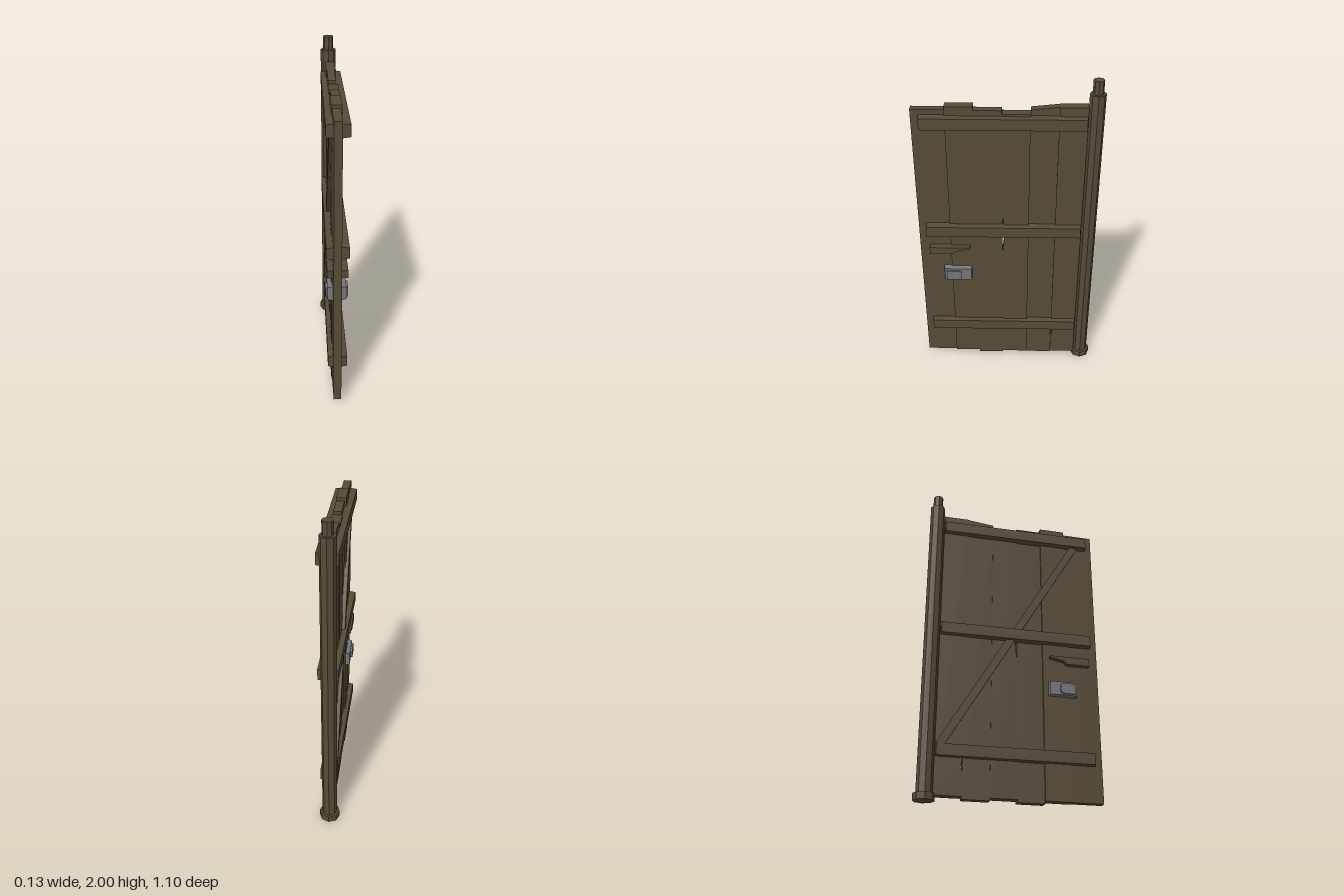
import * as THREE from 'three';

const wood = new THREE.MeshStandardMaterial({ color: 0x564b38 });
wood.name = 'weathered wood';
const metal = new THREE.MeshStandardMaterial({ color: 0x77777a });
metal.name = 'dull iron';

function add(group, name, geometry, material) {
  const geo = geometry.index ? geometry.toNonIndexed() : geometry;
  geo.computeVertexNormals(); // crisp facets
  const mesh = new THREE.Mesh(geo, material);
  mesh.name = name;
  group.add(mesh);
  return mesh;
}

// Board with an outline given as [z, y] points, filling x0..x1
function board(points, x0, x1) {
  const shape = new THREE.Shape(points.map(([z, y]) => new THREE.Vector2(z, y)));
  const geo = new THREE.ExtrudeGeometry(shape, { depth: x1 - x0, bevelEnabled: false });
  return geo.rotateY(-Math.PI / 2).translate(x1, 0, 0);
}

// Slab on one face of the door; the outer face is inset, and its height may differ at each end
function slab(side, z0, z1, y0, y1, base, outBack, outFront, inset) {
  const geo = new THREE.BoxGeometry(1, 1, 1);
  const p = geo.attributes.position;
  for (let i = 0; i < p.count; i++) {
    const outer = p.getX(i) * side > 0;
    const front = p.getZ(i) > 0;
    const top = p.getY(i) > 0;
    const d = outer ? inset : 0;
    const x = outer ? (front ? outFront : outBack) : base;
    p.setXYZ(i, side * x, top ? y1 - d : y0 + d, front ? z1 - d : z0 + d);
  }
  return geo;
}

export function createModel() {
  const door = new THREE.Group();
  door.name = 'door';

  // Planks: outline and thickness, from the free edge to the post
  const planks = [
    [[[0.36, 0.03], [0.55, 0.03], [0.55, 1.83], [0.36, 1.83]], -0.026, 0.02],
    [[[0.2, 0.03], [0.36, 0.03], [0.36, 1.85], [0.2, 1.85]], -0.03, 0.029],
    [[[0.04, 0.015], [0.2, 0.015], [0.2, 1.83], [0.04, 1.83]], -0.02, 0.029],
    [[[-0.12, 0.03], [0.04, 0.03], [0.04, 0.87], [0.022, 1.03], [0.04, 1.14], [0.04, 1.81], [-0.12, 1.81]], -0.026, 0.034],
    [[[-0.28, 0.015], [-0.12, 0.015], [-0.12, 1.833], [-0.28, 1.85]], -0.024, 0.021],
    [[[-0.44, 0.03], [-0.28, 0.03], [-0.28, 0.17], [-0.29, 0.19], [-0.28, 0.25], [-0.28, 1.85], [-0.44, 1.85]], -0.028, 0.03],
  ];
  planks.forEach(([outline, x0, x1], i) => add(door, 'plank' + (i + 1), board(outline, x0, x1), wood));

  // Hinge post: foot, shaft and top pin
  const post = new THREE.Group();
  post.name = 'hingePost';
  post.position.set(-0.006, 0, -0.486);
  door.add(post);
  for (const [name, r, y0, y1] of [['postFoot', 0.062, 0, 0.04], ['postShaft', 0.046, 0.03, 1.92], ['postPin', 0.031, 1.9, 2]]) {
    add(post, name, new THREE.CylinderGeometry(r, r, y1 - y0, 8).translate(0, (y0 + y1) / 2, 0), wood);
  }

  for (const side of [1, -1]) {
    const face = side > 0 ? 'Right' : 'Left';

    // Cross battens
    [[0.245, 0.325, 0.058], [1.0, 1.08, 0.066], [1.72, 1.8, 0.066]].forEach(([y0, y1, out], i) => {
      const back = side > 0 ? out : out - 0.01;
      add(door, 'batten' + face + (i + 1), slab(side, -0.44, 0.508, y0, y1, 0.01, back, out, 0.006), wood);
    });

    // Pull handle with a tapering tail
    const handle = [[0.49, 0.87], [0.49, 0.918], [0.24, 0.918], [0.24, 0.907], [0.33, 0.89], [0.345, 0.87]];
    const x = [0.015 * side, 0.06 * side].sort((a, b) => a - b);
    add(door, 'handle' + face, board(handle, x[0], x[1]), wood);

    // Lock plate with a raised boss
    add(door, 'lockPlate' + face, slab(side, 0.23, 0.412, 0.66, 0.76, 0.015, 0.056, 0.056, 0.008), metal);
    const boss = [[0.3, 0.69], [0.315, 0.675], [0.39, 0.675], [0.39, 0.74], [0.315, 0.74], [0.3, 0.73]];
    const b = [0.05 * side, 0.067 * side].sort((a, c) => a - c);
    add(door, 'lockBoss' + face, board(boss, b[0], b[1]), metal);
  }

  // Diagonal brace on the left face, from the post foot to the free top corner
  const brace = [[-0.44, 0.32], [-0.385, 0.32], [0.45, 1.725], [0.395, 1.725]];
  add(door, 'diagonalBrace', board(brace, -0.046, -0.015), wood);

  return door;
}
